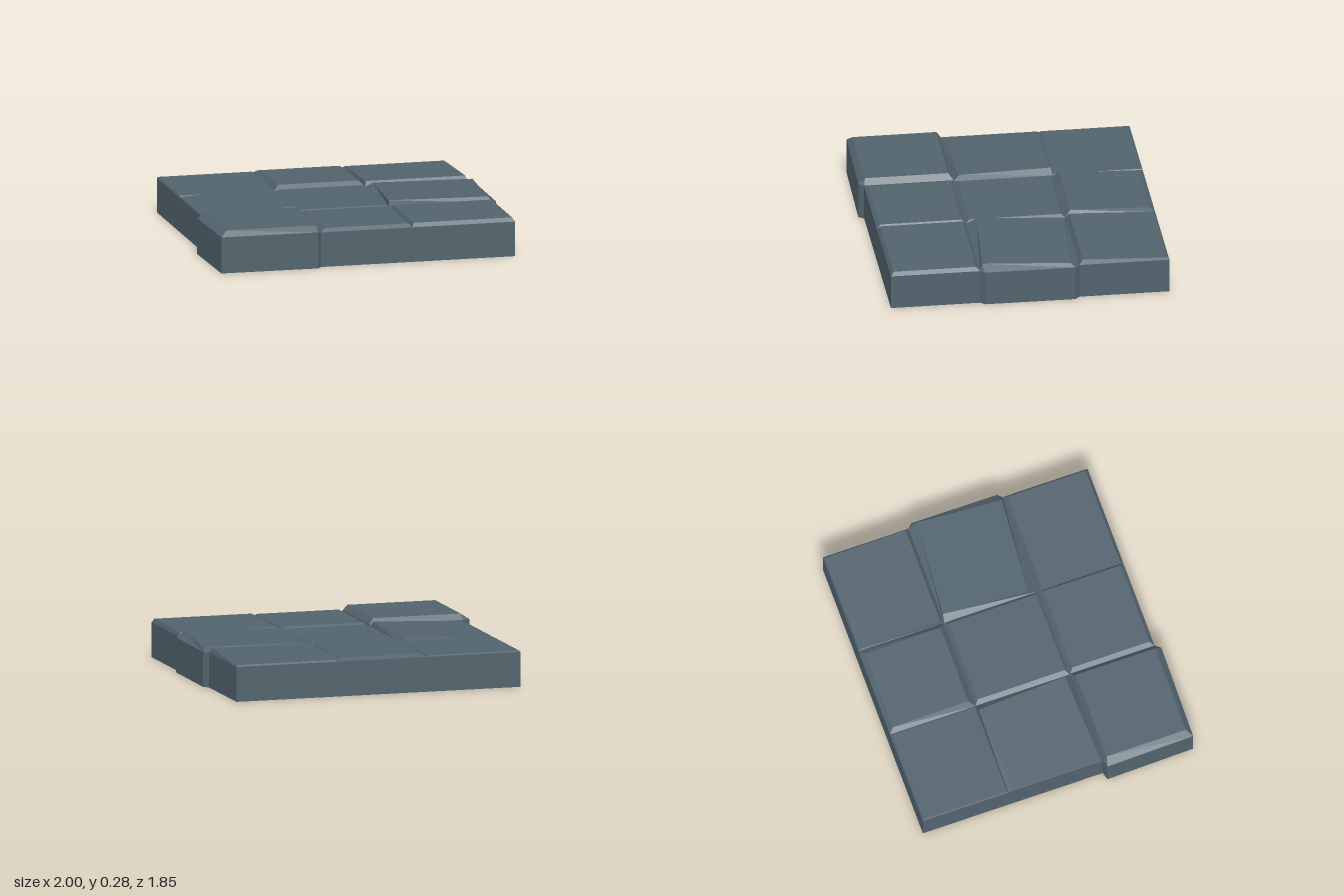
import * as THREE from 'three';

// Joint lines between the three columns and three rows of tiles
const X = [-0.95, -0.32, 0.285, 0.97];
const Z = [-0.925, -0.34, 0.305, 0.885];

// Corners of a rectangle, clockwise from back left
const corners = (x0, x1, z0, z1) => [[x0, z0], [x1, z0], [x1, z1], [x0, z1]];

// Top face: a rectangle turned by twist, rising along x and z around its mean height y
function topCorners([x0, x1, z0, z1], { y, riseX = 0, riseZ = 0, twist = 0 }) {
  const cx = (x0 + x1) / 2;
  const cz = (z0 + z1) / 2;
  const cos = Math.cos(twist);
  const sin = Math.sin(twist);
  return corners(x0 - cx, x1 - cx, z0 - cz, z1 - cz).map(([x, z]) => [
    Math.max(cx + x * cos - z * sin, X[0] + 0.005),
    y + (Math.sign(x) * riseX + Math.sign(z) * riseZ) / 2,
    cz + x * sin + z * cos,
  ]);
}

// Upright walls to the rim, then a chamfer from each rim point to the nearest top corner
function tileGeometry(rim, rimY, top) {
  const floor = rim.map(([x, z]) => [x, 0, z]);
  const edge = rim.map(([x, z]) => [x, rimY, z]);
  const distance = (a, b) => Math.hypot(a[0] - b[0], a[2] - b[2]);
  const upper = edge.map((p) => top.reduce((best, q) => (distance(p, q) < distance(p, best) ? q : best)));
  const positions = [];
  const tri = (a, b, c) => {
    if (a !== b && b !== c && c !== a) positions.push(...a, ...b, ...c);
  };
  for (const [low, high] of [[floor, edge], [edge, upper]]) {
    for (let i = 0; i < rim.length; i++) {
      const k = (i + 1) % rim.length;
      tri(low[i], high[k], low[k]);
      tri(low[i], high[i], high[k]);
    }
  }
  for (let i = 1; i < top.length - 1; i++) tri(top[0], top[i + 1], top[i]);
  for (let i = 1; i < rim.length - 1; i++) tri(floor[0], floor[i], floor[i + 1]);
  const geometry = new THREE.BufferGeometry();
  geometry.setAttribute('position', new THREE.Float32BufferAttribute(positions, 3));
  geometry.computeVertexNormals();
  return geometry;
}

export function createModel() {
  const group = new THREE.Group();
  group.name = 'stoneFloor';
  const stone = new THREE.MeshStandardMaterial({ color: 0x52636d });
  stone.name = 'slate stone';

  // A tile fills its grid cell unless it has its own rim
  function addTile(name, column, row, bounds, shape) {
    const cell = corners(X[column], X[column + 1], Z[row], Z[row + 1]);
    const { rim = cell, rimY = 0.228 } = shape;
    const mesh = new THREE.Mesh(tileGeometry(rim, rimY, topCorners(bounds, shape)), stone);
    mesh.name = name;
    group.add(mesh);
  }

  // Back row
  addTile('backLeftTile', 0, 0, [-0.943, -0.326, -0.915, -0.347], { y: 0.236 });
  addTile('backMiddleTile', 1, 0, [-0.285, 0.25, -0.893, -0.378], { y: 0.256, riseZ: 0.017 });
  addTile('backRightTile', 2, 0, [0.295, 0.956, -0.915, -0.364], { y: 0.249, riseZ: 0.022 });

  // Middle row: the outer tiles are turned, and the right one sticks out
  addTile('middleLeftTile', 0, 1, [-0.98, -0.35, -0.32, 0.28], { y: 0.25, riseX: 0.03, twist: -0.045 });
  addTile('centreTile', 1, 1, [-0.288, 0.264, -0.316, 0.282], { y: 0.246 });
  addTile('middleRightTile', 2, 1, [0.313, 0.963, -0.306, 0.264], {
    y: 0.26, riseZ: 0.01, twist: 0.075,
    rim: [[0.285, -0.34], [0.97, -0.34], [1, -0.31], [0.997, 0.275], [0.97, 0.305], [0.285, 0.305]],
  });

  // Front row: the left tile is higher and sticks out at the corner
  addTile('frontLeftTile', 0, 2, [-0.952, -0.352, 0.334, 0.876], {
    y: 0.275, rimY: 0.238,
    rim: [[-1, 0.32], [-0.95, 0.305], [-0.32, 0.305], [-0.32, 0.885], [-0.348, 0.92], [-0.988, 0.91]],
  });
  addTile('frontMiddleTile', 1, 2, [-0.288, 0.268, 0.334, 0.86], { y: 0.25 });
  addTile('frontRightTile', 2, 2, [0.3, 0.954, 0.33, 0.865], { y: 0.253 });
  return group;
}
